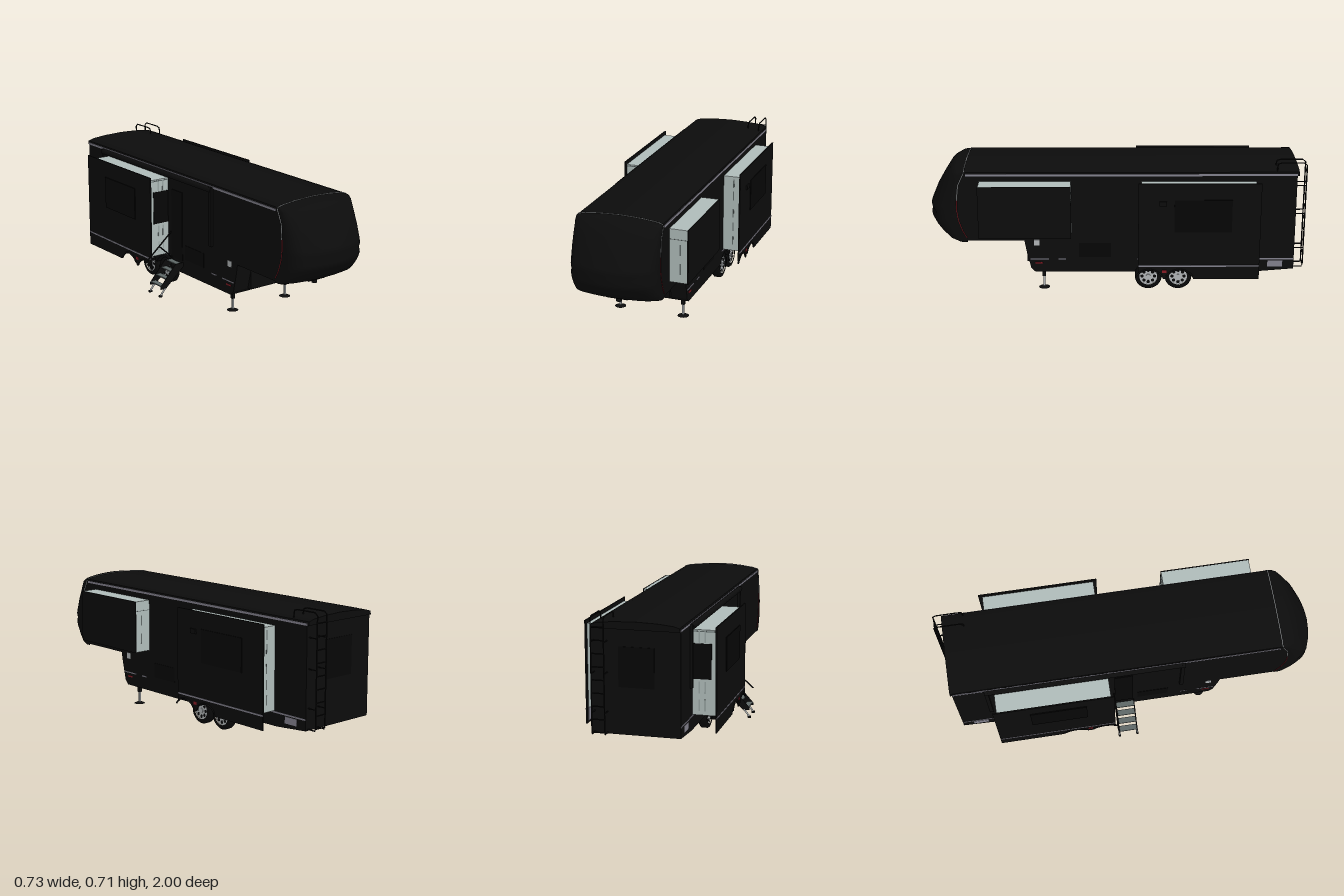
import * as THREE from 'three';

const mat = (name, color, side = THREE.FrontSide) => {
  const m = new THREE.MeshStandardMaterial({ color, side });
  m.name = name;
  return m;
};

export function createModel() {
  const M = {
    body: mat('body black', 0x0c0c0c, THREE.DoubleSide),
    tyre: mat('rubber black', 0x090909),
    glass: mat('dark glass', 0x060606),
    wall: mat('slide wall grey', 0xb0bcba),
    slot: mat('slot grey', 0x5f6867),
    emboss: mat('emboss grey', 0x98a4a2),
    silver: mat('silver', 0xb4b8ba),
    trim: mat('lavender grey', 0x85838f),
    red: mat('red', 0x8c1c26),
  };
  const root = new THREE.Group();
  const XL = 0.258, XR = -0.19, CX = 0.034, HW = 0.224;

  const add = (name, geo, m, parent = root) => {
    const mesh = new THREE.Mesh(geo, m);
    mesh.name = name;
    parent.add(mesh);
    return mesh;
  };
  // box from its lower and upper limits
  const box = (name, m, x0, x1, y0, y1, z0, z1, parent) => {
    const mesh = add(name, new THREE.BoxGeometry(x1 - x0, y1 - y0, z1 - z0), m, parent);
    mesh.position.set((x0 + x1) / 2, (y0 + y1) / 2, (z0 + z1) / 2);
    return mesh;
  };
  // outline in (z, y) extruded from x0 to x1
  const sidePlate = (name, m, pts, x0, x1, parent) => {
    const shape = new THREE.Shape(pts.map(([z, y]) => new THREE.Vector2(-z, y)));
    const g = new THREE.ExtrudeGeometry(shape, { depth: x1 - x0, bevelEnabled: false });
    return add(name, g.rotateY(Math.PI / 2).translate(x0, 0, 0), m, parent);
  };
  // round bar between or through points
  const bar = (name, m, pts, r, parent) => {
    const path = new THREE.CurvePath();
    const v = pts.map(p => new THREE.Vector3(...p));
    for (let i = 1; i < v.length; i++) path.add(new THREE.LineCurve3(v[i - 1], v[i]));
    return add(name, new THREE.TubeGeometry(path, (v.length - 1) * 6, r, 8), m, parent);
  };
  const axles = [-0.17, -0.33];
  const arch = (zc) => Array.from({ length: 15 }, (_, i) => {
    const a = 0.384 + (Math.PI - 0.768) * i / 14;
    return [zc + 0.08 * Math.cos(a), 0.075 + 0.08 * Math.sin(a)];
  });

  // main shell with wheel arches, and the floor between the wheels
  sidePlate('bodyShell', M.body, [
    [0.79, 0.285], [0.49, 0.285], [0.48, 0.23], [0.457, 0.13], [0.435, 0.107],
    ...arch(axles[0]), ...arch(axles[1]),
    [-0.75, 0.107], [-0.945, 0.123], [-0.945, 0.655], [0.79, 0.655]], XR, XL);
  box('floorBetweenWheels', M.body, -0.125, 0.19, 0.107, 0.2, -0.46, -0.05);

  // arched roof
  const arc = [[-1, 0.645], [-0.985, 0.664], [-0.85, 0.673], [-0.5, 0.681], [0, 0.685],
    [0.5, 0.681], [0.85, 0.673], [0.985, 0.664], [1, 0.645]];
  const roofShape = new THREE.Shape(arc.map(([u, y]) => new THREE.Vector2(CX + u * HW, y)));
  add('roof', new THREE.ExtrudeGeometry(roofShape, { depth: 1.75, bevelEnabled: false })
    .translate(0, 0, -0.955), M.body);
  bar('roofSeam', M.silver, arc.slice(1, -1).map(([u, y]) => [CX + u * HW, y, 0.8]), 0.002);

  // rounded nose cap, lofted from a centre profile and a plan curve
  const profile = [[0.79, 0.685], [0.85, 0.681], [0.885, 0.663], [0.92, 0.61], [0.96, 0.54],
    [0.99, 0.47], [1.0, 0.445], [0.99, 0.42], [1.0, 0.395], [0.985, 0.365], [0.95, 0.325],
    [0.91, 0.292], [0.86, 0.278], [0.79, 0.285]];
  const half = [[1, 0], [1, 0.42], [0.97, 0.58], [0.9, 0.71], [0.78, 0.82], [0.55, 0.91], [0.28, 0.975]];
  const plan = [...half.map(([u, f]) => [-u, f]), [0, 1], ...half.slice().reverse()];
  const pos = [], idx = [], n = plan.length;
  profile.forEach(([z, y], j) => plan.forEach(([u, f], i) => {
    pos.push(CX + u * HW, y - 0.021 * u * u * Math.max(0, (y - 0.5) / 0.185), 0.79 + (z - 0.79) * f);
    if (j && i) {
      const d = j * n + i, c = d - 1, b = d - n, a = b - 1;
      idx.push(a, c, b, b, c, d);
    }
  }));
  const nose = new THREE.BufferGeometry();
  nose.setAttribute('position', new THREE.Float32BufferAttribute(pos, 3));
  nose.setIndex(idx);
  nose.computeVertexNormals();
  add('noseCap', nose, M.body);

  // trim, lamps and vents on both sides
  for (const [side, x, s] of [['left', XL, 1], ['right', XR, -1]]) {
    const plate = (name, m, y0, y1, z0, z1) =>
      box(side + name, m, x - 0.002, x + 0.002, y0, y1, z0, z1);
    plate('RoofTrim', M.trim, 0.644, 0.655, -0.945, 0.79);
    plate('LowerTrim', M.trim, 0.175, 0.183, -0.942, -0.11);
    plate('FrontTrim', M.trim, 0.176, 0.182, 0.36, 0.46);
    plate('FrontTrimShort', M.trim, 0.176, 0.182, 0.27, 0.31);
    plate('RearVent', M.trim, 0.135, 0.17, -0.885, -0.805);
    plate('ServicePort', M.silver, 0.258, 0.29, 0.41, 0.44);
    plate('MarkerLamp', M.red, 0.153, 0.161, 0.395, 0.435);
    plate('HatchDoor', M.glass, 0.19, 0.27, 0.03, 0.2);
    const xs = x + s * 0.0005;
    bar(side + 'NoseTrimUpper', M.silver, [[xs, 0.66, 0.8], [xs, 0.59, 0.833], [xs, 0.51, 0.84]], 0.002);
    bar(side + 'NoseTrimLower', M.red,
      [[xs, 0.51, 0.84], [xs, 0.46, 0.843], [xs, 0.4, 0.835], [xs, 0.34, 0.815], [xs, 0.3, 0.793]], 0.002);
  }

  // two deep rear slide-outs with large outer panels
  const slideOut = (name, s, xb, xp) => {
    const g = new THREE.Group();
    g.name = name;
    root.add(g);
    const b = (nm, m, xa, xc, ...rest) => box(nm, m, Math.min(xa, xc), Math.max(xa, xc), ...rest, g);
    b('slideBox', M.wall, xb - s * 0.03, xp, 0.185, 0.615, -0.73, -0.13);
    const xo = xp + s * 0.007;
    sidePlate('slidePanel', M.body, [[-0.112, 0.635], [-0.112, 0.13],
      ...arch(axles[0]).filter(p => p[0] < -0.113), ...arch(axles[1]),
      [-0.75, 0.103], [-0.75, 0.635]], Math.min(xp, xo), Math.max(xp, xo), g);
    b('panelLiner', M.trim, xp - s * 0.003, xp, 0.115, 0.185, -0.735, -0.42);
    b('panelTrim', M.trim, xo - s * 0.002, xo + s * 0.002, 0.175, 0.183, -0.75, -0.115);
    b('panelLamp', M.red, xo - s * 0.002, xo + s * 0.002, 0.14, 0.155, -0.262, -0.238);
    for (const z of axles) {
      const flare = add('wheelArchFlare', new THREE.TorusGeometry(0.082, 0.005, 6, 20, Math.PI * 0.62), M.body, g);
      flare.rotation.set(0, Math.PI / 2, 0);
      flare.geometry.rotateZ(Math.PI * 0.19);
      flare.position.set(xo, 0.075, z);
    }
    return { g, b, xo };
  };
  const L = slideOut('leftRearSlide', 1, XL, 0.351);
  const R = slideOut('rightRearSlide', -1, XR, -0.311);
  for (const z of [-0.73, -0.13]) {
    for (const y of [0.22, 0.3, 0.38, 0.48, 0.55])
      L.b('wallSlot', M.slot, 0.312, 0.318, y, y + 0.05, z - 0.001, z + 0.001);
    for (const y of [0.205, 0.295, 0.55]) for (const x of [-0.258, -0.228])
      R.b('wallEmboss', M.emboss, x, x + 0.008, y, y + 0.06, z - 0.001, z + 0.001);
    R.b('endWindow', M.glass, -0.287, -0.192, 0.368, 0.546, z - 0.003, z + 0.003);
    R.b('topSeal', M.slot, -0.31, -0.19, 0.604, 0.609, z - 0.001, z + 0.001);
  }
  R.b('panelWindow', M.glass, R.xo, R.xo - 0.005, 0.37, 0.546, -0.56, -0.26);
  L.b('panelWindow', M.glass, L.xo, L.xo + 0.004, 0.37, 0.546, -0.6, -0.3);
  L.b('panelVent', M.body, L.xo, L.xo + 0.007, 0.515, 0.54, -0.26, -0.22);

  // shallow front slide-out on the left side
  box('leftFrontSlideBox', M.wall, 0.23, 0.351, 0.335, 0.615, 0.24, 0.72);
  box('leftFrontSlidePanel', M.body, 0.351, 0.357, 0.333, 0.616, 0.238, 0.722);
  for (const z of [0.24, 0.72]) {
    box('frontSlideSeam', M.slot, 0.258, 0.351, 0.56, 0.563, z - 0.001, z + 0.001);
    for (const y of [0.38, 0.48])
      box('frontSlideSlot', M.slot, 0.312, 0.318, y, y + 0.057, z - 0.001, z + 0.001);
  }

  // awning on the right side
  bar('awningRoll', M.body, [[-0.197, 0.636, -0.78], [-0.197, 0.636, 0.28]], 0.016);
  for (const z of [-0.77, 0.27]) box('awningArm', M.body, -0.204, -0.188, 0.33, 0.65, z - 0.01, z + 0.01);
  box('entryDoor', M.glass, -0.193, -0.189, 0.175, 0.56, -0.095, 0.005);

  // wheels, axles and hangers
  const tyreProfile = [[0.048, -0.022], [0.066, -0.022], [0.072, -0.015], [0.072, 0.015], [0.066, 0.022], [0.048, 0.022]];
  for (const z of axles) {
    bar('axle', M.body, [[-0.14, 0.076, z], [0.21, 0.076, z]], 0.006);
    for (const x of [-0.105, 0.17]) box('axleHanger', M.body, x - 0.004, x + 0.004, 0.066, 0.108, z - 0.01, z + 0.01);
    for (const x of [-0.157, 0.225]) {
      const wheel = new THREE.Group();
      wheel.name = 'wheel';
      wheel.position.set(x, 0.073, z);
      wheel.rotation.z = -Math.PI / 2;
      root.add(wheel);
      add('tyre', new THREE.LatheGeometry(tyreProfile.map(p => new THREE.Vector2(...p)), 32), M.tyre, wheel);
      add('rim', new THREE.CylinderGeometry(0.049, 0.049, 0.036, 32), M.silver, wheel);
      add('hub', new THREE.CylinderGeometry(0.012, 0.012, 0.044, 16), M.silver, wheel);
      for (let i = 0; i < 8; i++) {
        const a = i * Math.PI / 4;
        const hole = add('rimHole', new THREE.CylinderGeometry(0.009, 0.009, 0.038, 10), M.tyre, wheel);
        hole.position.set(Math.cos(a) * 0.033, 0, Math.sin(a) * 0.033);
      }
    }
  }

  // landing legs, hitch and front hatch
  for (const x of [-0.143, 0.213]) {
    box('legSleeve', M.body, x - 0.009, x + 0.009, 0.065, 0.12, 0.381, 0.399);
    box('legRam', M.silver, x - 0.005, x + 0.005, 0.005, 0.07, 0.385, 0.395);
    add('legFoot', new THREE.CylinderGeometry(0.012, 0.03, 0.008, 20), M.body).position.set(x, 0.004, 0.39);
  }
  box('hitchBox', M.body, -0.02, 0.088, 0.262, 0.29, 0.72, 0.85);
  add('hitchPin', new THREE.CylinderGeometry(0.014, 0.014, 0.03, 16), M.body).position.set(CX, 0.258, 0.83);
  box('frontHatch', M.body, -0.095, 0.17, 0.13, 0.235, 0.46, 0.483);

  // entry steps with stringers, treads, feet and handrail
  for (const z of [-0.092, 0.008]) {
    const s = new THREE.Shape([[-0.19, 0.168], [-0.24, 0.168], [-0.34, 0.056], [-0.34, 0.042], [-0.305, 0.042], [-0.19, 0.145]]
      .map(p => new THREE.Vector2(...p)));
    add('stepStringer', new THREE.ExtrudeGeometry(s, { depth: 0.004, bevelEnabled: false }).translate(0, 0, z - 0.002), M.body);
    bar('stepLeg', M.silver, [[-0.31, 0.045, z], [-0.34, 0.008, z]], 0.005);
    box('stepFoot', M.body, -0.349, -0.331, 0, 0.01, z - 0.006, z + 0.006);
  }
  for (let i = 0; i < 4; i++) {
    const x = -0.322 + i * 0.036, y = 0.056 + i * 0.034;
    box('stepTread', M.slot, x - 0.016, x + 0.016, y, y + 0.006, -0.092, 0.008);
  }
  bar('handrail', M.body, [[-0.362, 0.17, -0.1], [-0.19, 0.318, -0.1]], 0.004);
  bar('handrailBrace', M.body, [[-0.273, 0.247, -0.1], [-0.19, 0.172, -0.1]], 0.004);

  // rear ladder reaching over the roof
  for (const x of [0.176, 0.241]) {
    bar('ladderRail', M.body, [[x, 0.13, -0.945], [x, 0.13, -0.995], [x, 0.7, -0.995], [x, 0.71, -0.985],
      [x, 0.71, -0.85], [x, 0.7, -0.84], [x, 0.66, -0.84]], 0.0035);
    for (const y of [0.235, 0.43, 0.585]) bar('ladderBracket', M.body, [[x, y, -0.94], [x, y, -0.995]], 0.003);
  }
  for (let i = 0; i < 9; i++)
    bar('ladderRung', M.body, [[0.176, 0.14 + i * 0.065, -0.995], [0.241, 0.14 + i * 0.065, -0.995]], 0.0035);
  box('rearWindow', M.glass, -0.06, 0.12, 0.36, 0.56, -0.948, -0.943);
  return root;
}
